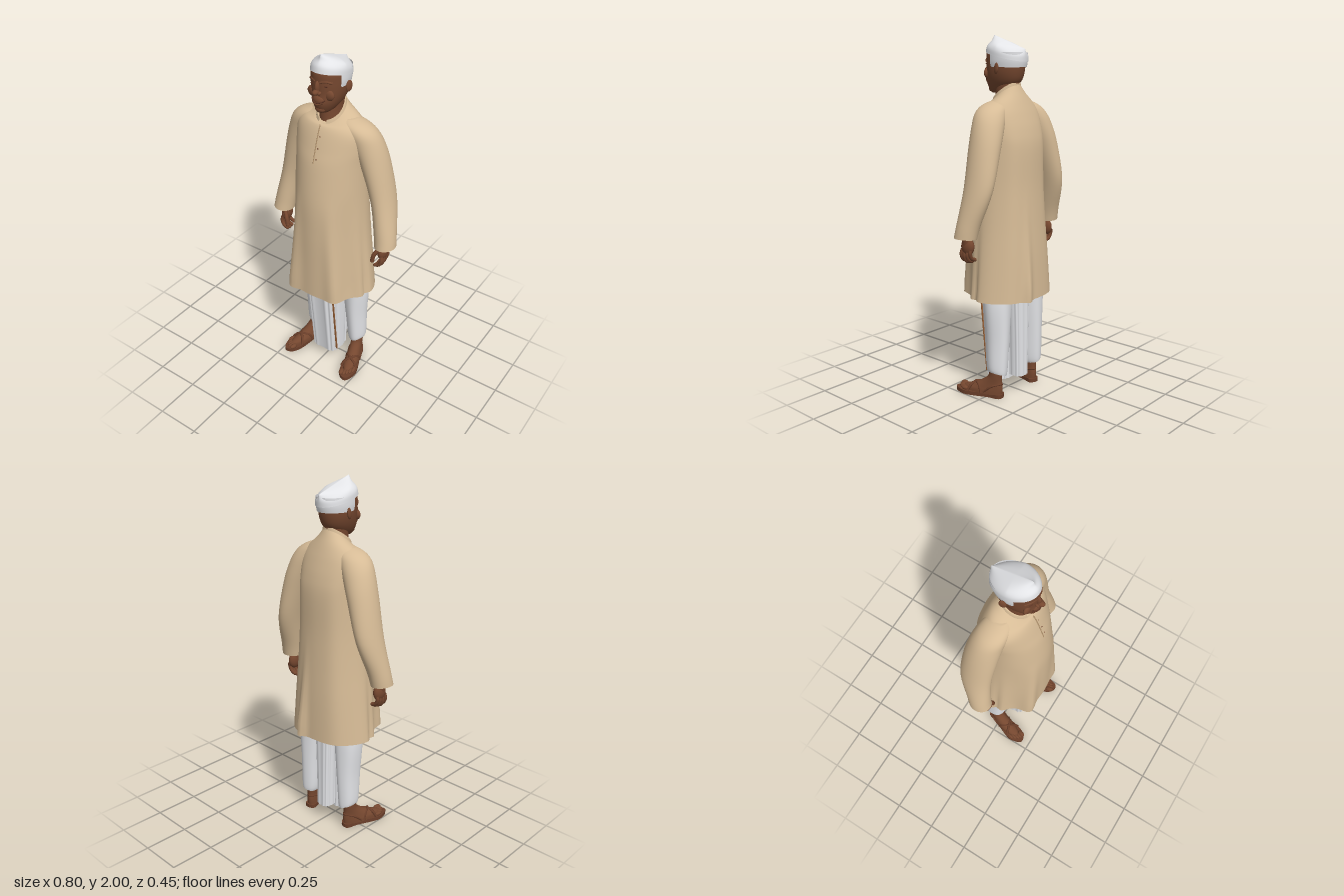
import * as THREE from 'three';

const mat = (name, color, side = THREE.DoubleSide) => {
  const m = new THREE.MeshStandardMaterial({ color, side });
  m.name = name;
  return m;
};

// Smooth value through a list of rows, u in row units
function sample(rows, u) {
  const i = Math.min(Math.floor(u), rows.length - 2), t = u - i;
  const row = (k) => rows[Math.max(0, Math.min(rows.length - 1, k))];
  return rows[i].map((_, k) => {
    const p0 = row(i - 1)[k], p1 = row(i)[k], p2 = row(i + 1)[k], p3 = row(i + 2)[k];
    return p1 + 0.5 * t * (p2 - p0 + t * (2 * p0 - 5 * p1 + 4 * p2 - p3 + t * (3 * (p1 - p2) + p3 - p0)));
  });
}

// Skin over horizontal rings listed from bottom to top.
// Ring: [y, centre x, centre z, half width, front depth, back depth, slope in z, slope in x, roundness power]
function loft(rings, { power = 2, start = 0, arc = Math.PI * 2, bottom = false, top = false, seg = 48, sub = 5, warp } = {}) {
  const rows = rings.map((r) => Array.from({ length: 9 }, (_, i) => r[i] ?? (i < 8 ? 0 : power)));
  const closed = arc > 6.28, cols = closed ? seg : seg + 1, n = (rows.length - 1) * sub;
  const pos = [], idx = [];
  for (let i = 0; i <= n; i++) {
    const [y, cx, cz, w, f, b, tz, tx, p] = sample(rows, i / sub);
    const bend = (v) => Math.sign(v) * Math.abs(v) ** (2 / p);
    for (let j = 0; j < cols; j++) {
      const a = start + (arc * j) / seg;
      const k = warp ? warp(a, y) : 1;
      const dx = w * bend(Math.cos(a)) * k, s = bend(Math.sin(a)), dz = (s > 0 ? f : b) * s * k;
      pos.push(cx + dx, y + tz * dz + tx * dx, cz + dz);
    }
  }
  for (let i = 0; i < n; i++) for (let j = 0; j < seg; j++) {
    const a = i * cols + j, b = i * cols + ((j + 1) % cols), c = a + cols, d = b + cols;
    idx.push(a, c, b, b, c, d);
  }
  const close = (row, r, up) => {
    const centre = pos.length / 3;
    pos.push(r[1], r[0], r[2]);
    for (let j = 0; j < seg; j++) {
      const a = row * cols + j, b = row * cols + ((j + 1) % cols);
      idx.push(...(up ? [centre, b, a] : [centre, a, b]));
    }
  };
  if (bottom) close(0, rows[0], false);
  if (top) close(n, rows[rows.length - 1], true);
  const g = new THREE.BufferGeometry();
  g.setAttribute('position', new THREE.Float32BufferAttribute(pos, 3));
  g.setIndex(idx);
  g.computeVertexNormals();
  return g;
}

export function createModel() {
  const root = new THREE.Group();
  root.name = 'standingMan';
  const tan = mat('tan cloth', 0xd6bb96), tanDark = mat('tan trim', 0xb3946e);
  const white = mat('white cloth', 0xe6e7ea);
  const skin = mat('brown skin', 0x75472f), lipMat = mat('dark skin', 0x5c3424);
  const leather = mat('sandal leather', 0x6b3f2a), border = mat('brown border', 0x9a6238);

  const add = (name, geo, m, parent = root) => {
    const mesh = new THREE.Mesh(geo, m);
    mesh.name = name;
    parent.add(mesh);
    return mesh;
  };
  const blob = (name, m, p, r, parent = root) => {
    const mesh = add(name, new THREE.SphereGeometry(1, 20, 14), m, parent);
    mesh.position.set(...p);
    mesh.scale.set(...r);
    return mesh;
  };
  const tube = (name, m, pts, r, parent = root) => add(name, new THREE.TubeGeometry(
    new THREE.CatmullRomCurve3(pts.map((p) => new THREE.Vector3(...p))), 14, r, 8), m, parent);

  // Tunic body, with a flat back and folds that deepen towards the hem
  const fold = (a, at, width) => {
    const d = Math.atan2(Math.sin(a - at), Math.cos(a - at)) / width;
    return Math.exp(-d * d);
  };
  add('tunicBody', loft([
    [0.575, 0, 0, 0.26, 0.218, 0.2],
    [0.8, 0, 0, 0.236, 0.217, 0.193],
    [1.0, 0, 0, 0.216, 0.217, 0.182],
    [1.2, 0, 0, 0.203, 0.212, 0.172],
    [1.4, 0, 0, 0.2, 0.185, 0.168],
    [1.5, 0, 0, 0.205, 0.158, 0.153],
    [1.58, 0, 0, 0.2, 0.132, 0.13],
    [1.63, 0, 0, 0.165, 0.113, 0.108, -0.1],
    [1.665, 0, 0.005, 0.105, 0.095, 0.088, -0.4],
    [1.685, 0, 0.01, 0.074, 0.082, 0.076, -0.7],
  ], {
    seg: 96, top: true,
    warp: (a, y) => {
      const k = Math.max(0, Math.min(1, (1.25 - y) / 0.6));
      const back = Math.max(0, Math.min(1, (1.64 - y) / 0.2));
      return 1 + back * 0.05 * (fold(a, -0.95, 0.3) + fold(a, -2.19, 0.3))
        + k * (0.17 * fold(a, 2.1, 0.17) + 0.11 * fold(a, 1.04, 0.17) + 0.17 * k * fold(a, -1.32, 0.1)
        - 0.07 * k * (fold(a, 0.14, 0.09) + fold(a, 3.0, 0.09)) - 0.09 * (fold(a, 0.58, 0.24) + fold(a, 2.56, 0.24)));
    },
  }), tan);

  // Stand collar, open at the front
  add('collar', loft([
    [1.655, 0, 0.012, 0.08, 0.09, 0.082, -0.68],
    [1.68, 0, 0.012, 0.076, 0.086, 0.08, -0.68],
    [1.7, 0, 0.012, 0.07, 0.08, 0.078, -0.68],
  ], { start: Math.PI / 2 + 0.3, arc: Math.PI * 2 - 0.6 }), tan);

  // Front opening and buttons
  tube('frontOpening', tanDark, [[0, 1.625, 0.113], [0, 1.58, 0.132], [0, 1.5, 0.158], [0, 1.43, 0.178]], 0.003);
  [[1.57, 0.134], [1.51, 0.154], [1.455, 0.17]].forEach(([y, z]) =>
    blob('button', leather, [0.014, y, z], [0.004, 0.004, 0.004]));

  // Neck and head
  add('neck', loft([
    [1.62, 0, 0.01, 0.062, 0.075, 0.065],
    [1.7, 0, 0.01, 0.058, 0.066, 0.072],
    [1.8, 0, 0.01, 0.062, 0.06, 0.085],
  ]), skin);
  add('head', loft([
    [1.692, 0, 0.07, 0.026, 0.038, 0.05],
    [1.71, 0, 0.05, 0.048, 0.073, 0.07],
    [1.75, 0, 0.03, 0.071, 0.107, 0.1],
    [1.8, 0, 0.02, 0.085, 0.112, 0.11],
    [1.86, 0, 0.018, 0.088, 0.115, 0.114],
    [1.895, 0, 0.016, 0.083, 0.112, 0.1, 0.2],
    [1.92, 0, 0.01, 0.05, 0.07, 0.06, 0.2],
  ], { bottom: true, top: true, power: 2.1 }), skin);
  blob('noseBridge', skin, [0, 1.838, 0.132], [0.012, 0.034, 0.018]);
  blob('noseTip', skin, [0, 1.816, 0.147], [0.016, 0.014, 0.022]);
  blob('chin', skin, [0, 1.715, 0.11], [0.03, 0.021, 0.02]);
  blob('muzzle', skin, [0, 1.768, 0.118], [0.036, 0.028, 0.026]);
  tube('mouthLine', lipMat, [[-0.04, 1.773, 0.125], [-0.02, 1.762, 0.139], [0, 1.758, 0.144],
    [0.02, 1.762, 0.139], [0.04, 1.773, 0.125]], 0.0035);
  tube('lowerLip', skin, [[-0.03, 1.761, 0.13], [0, 1.749, 0.14], [0.03, 1.761, 0.13]], 0.007);
  for (const s of [-1, 1]) {
    blob('nostril', skin, [s * 0.014, 1.811, 0.137], [0.01, 0.009, 0.013]);
    blob('cheek', skin, [s * 0.045, 1.797, 0.104], [0.034, 0.03, 0.016]);
    blob('eye', lipMat, [s * 0.036, 1.846, 0.118], [0.015, 0.005, 0.007]);
    tube('brow', skin, [[s * 0.012, 1.864, 0.129], [s * 0.04, 1.87, 0.119], [s * 0.064, 1.86, 0.098]], 0.007);
    const ear = blob('ear', skin, [s * 0.097, 1.822, 0.002], [0.009, 0.03, 0.019]);
    ear.rotation.set(-0.15, s * -0.35, 0);
  }

  // Hair below the cap, then the cap with its pointed sloping crown
  add('hair', loft([
    [1.828, 0, 0.012, 0.089, 0.116, 0.118],
    [1.86, 0, 0.012, 0.093, 0.121, 0.125],
    [1.905, 0, 0.012, 0.093, 0.12, 0.126],
  ], { start: Math.PI - 0.36, arc: Math.PI + 0.72 }), white);
  add('cap', loft([
    [1.885, 0, 0.012, 0.096, 0.125, 0.13, 0.22, 0, 2],
    [1.915, 0, 0.012, 0.094, 0.118, 0.132, 0.25, 0, 1.85],
    [1.94, 0, 0.012, 0.08, 0.1, 0.132, 0.3, 0, 1.5],
    [1.957, 0, 0.012, 0.045, 0.094, 0.131, 0.33, 0, 1.4],
    [1.967, 0, 0.012, 0.003, 0.09, 0.13, 0.35, 0, 1.4],
  ], { top: true, seg: 64 }), white);

  // Front pleats, back tuck and border of the wrapped garment
  const pleats = (a) => 1 + 0.035 * Math.cos(a * 14);
  add('frontPleats', loft([
    [0.075, 0, 0.02, 0.083, 0.09, 0.06],
    [0.3, 0, 0.02, 0.086, 0.112, 0.06],
    [0.62, 0, 0.02, 0.09, 0.143, 0.06],
  ], { power: 4.5, seg: 96, warp: pleats }), white);
  add('backTuck', loft([
    [0.1, 0, -0.07, 0.045, 0.04, 0.052],
    [0.35, 0, -0.07, 0.05, 0.04, 0.052],
    [0.62, 0, -0.07, 0.06, 0.04, 0.052],
  ], { power: 3, seg: 72, warp: pleats }), white);
  const stripe = add('borderStripe', new THREE.BoxGeometry(0.009, 0.48, 0.006), border);
  stripe.position.set(0.088, 0.34, 0.112);
  stripe.rotation.x = 0.1;

  for (const s of [-1, 1]) {
    const side = s > 0 ? 'left' : 'right';
    const mirror = (rings) => rings.map((r) => r.map((v, i) => (i === 1 || i === 7 ? v * s : v)));
    const pts = (list) => list.map(([x, y, z]) => [x * s, y, z]);

    // Sleeve
    add(side + 'Sleeve', loft(mirror([
      [0.945, 0.344, 0, 0.058, 0.064, 0.064, 0, 0.08],
      [1.02, 0.332, -0.012, 0.06, 0.066, 0.07],
      [1.2, 0.294, -0.045, 0.062, 0.085, 0.092],
      [1.4, 0.241, -0.045, 0.075, 0.095, 0.09],
      [1.52, 0.198, -0.033, 0.085, 0.092, 0.086],
      [1.59, 0.16, -0.018, 0.088, 0.084, 0.08],
      [1.63, 0.12, -0.008, 0.078, 0.066, 0.066],
      [1.653, 0.095, -0.005, 0.04, 0.035, 0.035],
    ]), { top: true }), tan);

    // Hand
    const hand = new THREE.Group();
    hand.name = side + 'Hand';
    root.add(hand);
    tube('wrist', skin, pts([[0.34, 1.02, -0.005], [0.335, 0.96, 0], [0.33, 0.91, 0]]), 0.027, hand);
    blob('palm', skin, [s * 0.33, 0.9, -0.003], [0.026, 0.048, 0.042], hand);
    for (let i = 0; i < 4; i++) {
      const z = 0.028 - i * 0.021, drop = [0.006, 0, 0.004, 0.016][i];
      tube('finger', skin, pts([[0.338, 0.885, z], [0.342, 0.85 + drop, z + 0.004],
        [0.328, 0.822 + drop, z + 0.006], [0.305, 0.812 + drop, z + 0.006]]), 0.0105, hand);
      blob('fingertip', skin, [s * 0.305, 0.812 + drop, z + 0.006], [0.0105, 0.0105, 0.0105], hand);
    }
    tube('thumb', skin, pts([[0.322, 0.925, 0.025], [0.3, 0.89, 0.042], [0.292, 0.85, 0.045]]), 0.012, hand);
    blob('thumbTip', skin, [s * 0.292, 0.85, 0.045], [0.012, 0.014, 0.012], hand);

    // Trouser leg of the wrapped garment
    add(side + 'Leg', loft(mirror([
      [0.14, 0.152, -0.048, 0.043, 0.06, 0.058, 0, 0.35],
      [0.18, 0.149, -0.046, 0.052, 0.066, 0.064, 0, 0.2],
      [0.35, 0.143, -0.042, 0.06, 0.076, 0.074],
      [0.55, 0.138, -0.037, 0.077, 0.084, 0.082],
      [0.7, 0.125, -0.03, 0.08, 0.09, 0.085],
    ]), { warp: (a) => 1 + 0.02 * Math.cos(a * 5) }), white);

    // Foot and sandal, turned outwards
    const foot = new THREE.Group();
    foot.name = side + 'Foot';
    foot.position.set(s * 0.156, 0, -0.03);
    foot.rotation.y = s * 0.26;
    root.add(foot);
    const outline = new THREE.Shape(new THREE.SplineCurve([
      [0, -0.056], [0.031, -0.04], [0.034, 0.03], [0.049, 0.12], [0.049, 0.18], [0.01, 0.24],
      [-0.034, 0.218], [-0.048, 0.15], [-0.034, 0.03], [-0.031, -0.04], [0, -0.056],
    ].map(([x, y]) => new THREE.Vector2(x * s, -y))).getPoints(50));
    const sole = new THREE.ExtrudeGeometry(outline, { depth: 0.022, bevelEnabled: false });
    sole.rotateX(-Math.PI / 2);
    add('sole', sole, leather, foot);
    add('footUpper', loft([
      [0.02, 0, 0.06, 0.044, 0.14, 0.108],
      [0.04, 0, 0.055, 0.043, 0.135, 0.105],
      [0.06, 0, 0.035, 0.039, 0.105, 0.085],
      [0.09, 0, 0.01, 0.035, 0.065, 0.056],
      [0.13, 0, -0.01, 0.034, 0.042, 0.036],
      [0.2, 0, -0.012, 0.036, 0.04, 0.038],
    ]), skin, foot);
    for (let i = 0; i < 5; i++) {
      const r = i ? 0.0105 : 0.0145;
      blob('toe', skin, [s * (-0.027 + i * 0.015 + (i ? 0.004 : 0)), 0.031, 0.204 - i * i * 0.0024], [r, r, 0.025], foot);
    }
    for (const k of [-1, 1]) {
      tube('strap', leather, [[k * 0.046, 0.022, 0.15], [k * 0.031, 0.052, 0.135], [0, 0.069, 0.115],
        [-k * 0.031, 0.06, 0.08], [-k * 0.041, 0.022, 0.065]], 0.008, foot);
    }
    tube('heelStrap', leather, [[0.04, 0.03, 0.05], [0.036, 0.07, 0], [0, 0.08, -0.048],
      [-0.036, 0.07, 0], [-0.04, 0.03, 0.05]], 0.006, foot);
  }
  return root;
}
